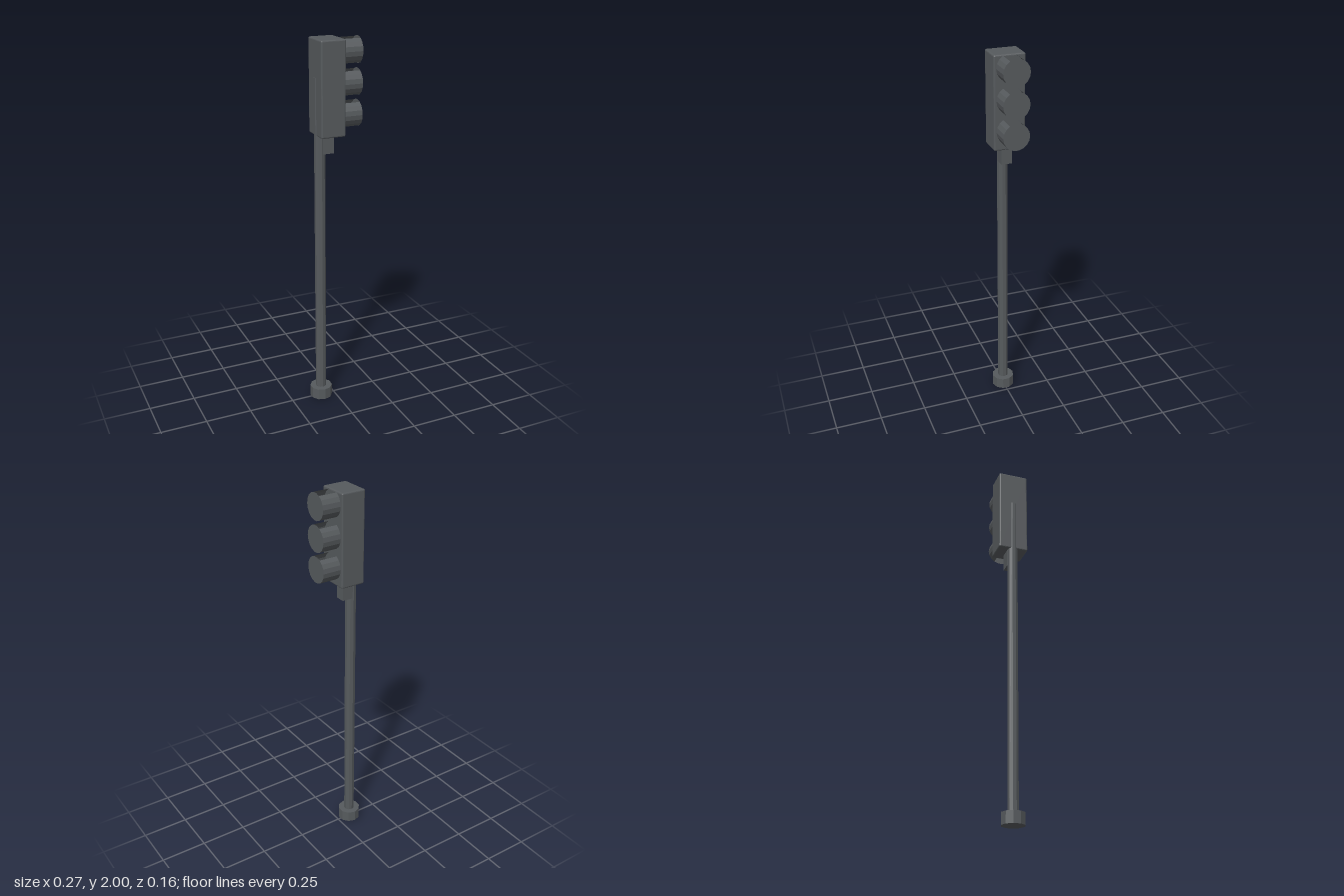
import * as THREE from 'three';
import { RoundedBoxGeometry } from 'three/addons/geometries/RoundedBoxGeometry.js';

export function createModel() {
  const model = new THREE.Group();
  const grey = new THREE.MeshStandardMaterial({ color: 0x565a5d, flatShading: true });
  grey.name = 'darkGrey';
  const greySheet = grey.clone();
  greySheet.name = 'darkGreySheet';
  greySheet.side = THREE.DoubleSide;

  const add = (name, geometry, x, y, z = 0, material = grey, parent = model) => {
    const mesh = new THREE.Mesh(geometry, material);
    mesh.name = name;
    mesh.position.set(x, y, z);
    parent.add(mesh);
    return mesh;
  };

  // ten-sided column with a flat side facing -x
  const column = (radius, height) =>
    new THREE.CylinderGeometry(radius, radius, height, 10).translate(0, height / 2, 0);

  const poleX = -0.076;
  add('base', column(0.061, 0.062), poleX, 0);
  add('pole', column(0.029, 1.75), poleX, 0.06);
  add('bracket', new THREE.BoxGeometry(0.06, 0.11, 0.056), -0.04, 1.475);
  add('signalHousing', new RoundedBoxGeometry(0.133, 0.485, 0.164, 2, 0.008), -0.0335, 1.7575, -0.001);

  // three lamps: side shells open above and below, closed by a round end
  const r = 0.0695, x0 = 0.03, x1 = 0.132;
  for (let i = 0; i < 3; i++) {
    const lamp = new THREE.Group();
    lamp.name = `lamp${i + 1}`;
    lamp.position.set(0, 1.614 + i * 0.16, -0.001);
    model.add(lamp);
    for (const side of [0, 1]) {
      // arc of 120 degrees centred on the +z or -z side
      const shell = new THREE.CylinderGeometry(r, r, x1 - x0, 6, 1, true,
        side * Math.PI - Math.PI / 3, (2 * Math.PI) / 3).rotateZ(-Math.PI / 2);
      add(side ? 'visorBack' : 'visorFront', shell, (x0 + x1) / 2, 0, 0, greySheet, lamp);
    }
    add('lampEnd', new THREE.CircleGeometry(r, 18).rotateY(Math.PI / 2), x1, 0, 0, greySheet, lamp);
  }
  return model;
}
